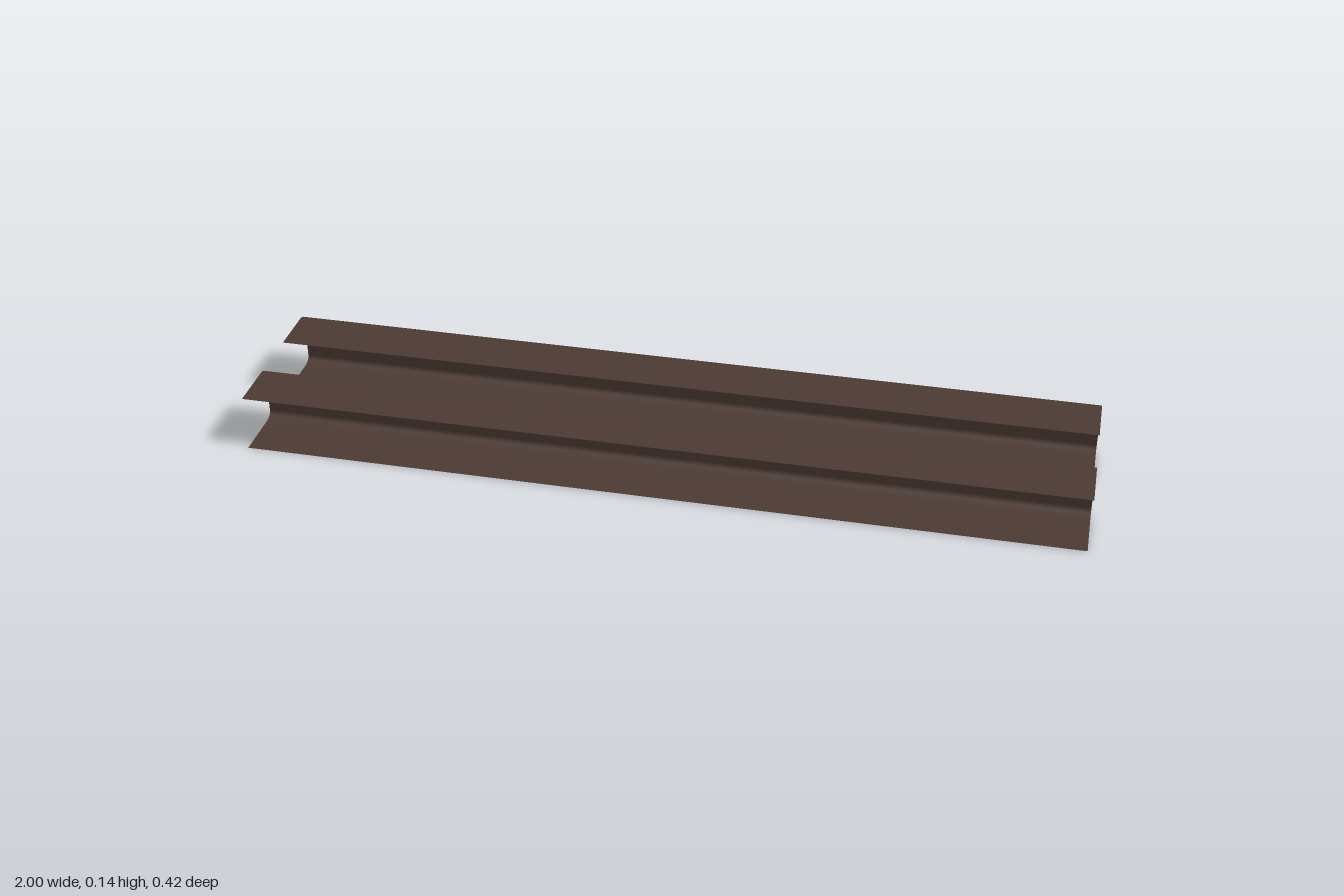
import * as THREE from 'three';

const LENGTH = 2, HEIGHT = 0.139, DEPTH = 0.147, GAP = 0.122;
const BEND_Y = 0.016, BEND_Z = 0.026, BEND_STEPS = 6;

// C-shaped section as [z, y]: top lip, rounded bend, web, rounded bend, bottom lip
function channelSection() {
  const upper = [[DEPTH, HEIGHT]];
  for (let i = 0; i <= BEND_STEPS; i++) {
    const a = (i / BEND_STEPS) * Math.PI / 2;
    upper.push([BEND_Z * (1 - Math.sin(a)), HEIGHT - BEND_Y * (1 - Math.cos(a))]);
  }
  const lower = upper.map(([z, y]) => [z, HEIGHT - y]).reverse();
  return [...upper, ...lower];
}

// Sweep the section along x as a thin open sheet, outside facing out
function channelGeometry() {
  const positions = [];
  const section = channelSection();
  for (let i = 0; i < section.length - 1; i++) {
    const [z0, y0] = section[i], [z1, y1] = section[i + 1];
    const l = -LENGTH / 2, r = LENGTH / 2;
    positions.push(l, y0, z0, r, y0, z0, r, y1, z1);
    positions.push(l, y0, z0, r, y1, z1, l, y1, z1);
  }
  const geometry = new THREE.BufferGeometry();
  geometry.setAttribute('position', new THREE.Float32BufferAttribute(positions, 3));
  geometry.computeVertexNormals();
  return geometry;
}

export function createModel() {
  const group = new THREE.Group();
  group.name = 'channelRails';
  const steel = new THREE.MeshStandardMaterial({ color: 0x4d3b34, side: THREE.DoubleSide });
  steel.name = 'dark brown steel';

  // Two identical channels, both opening to the front
  const geometry = channelGeometry();
  for (const [name, z] of [['backRail', -GAP / 2 - DEPTH], ['frontRail', GAP / 2]]) {
    const rail = new THREE.Mesh(geometry, steel);
    rail.name = name;
    rail.position.z = z;
    group.add(rail);
  }
  return group;
}
